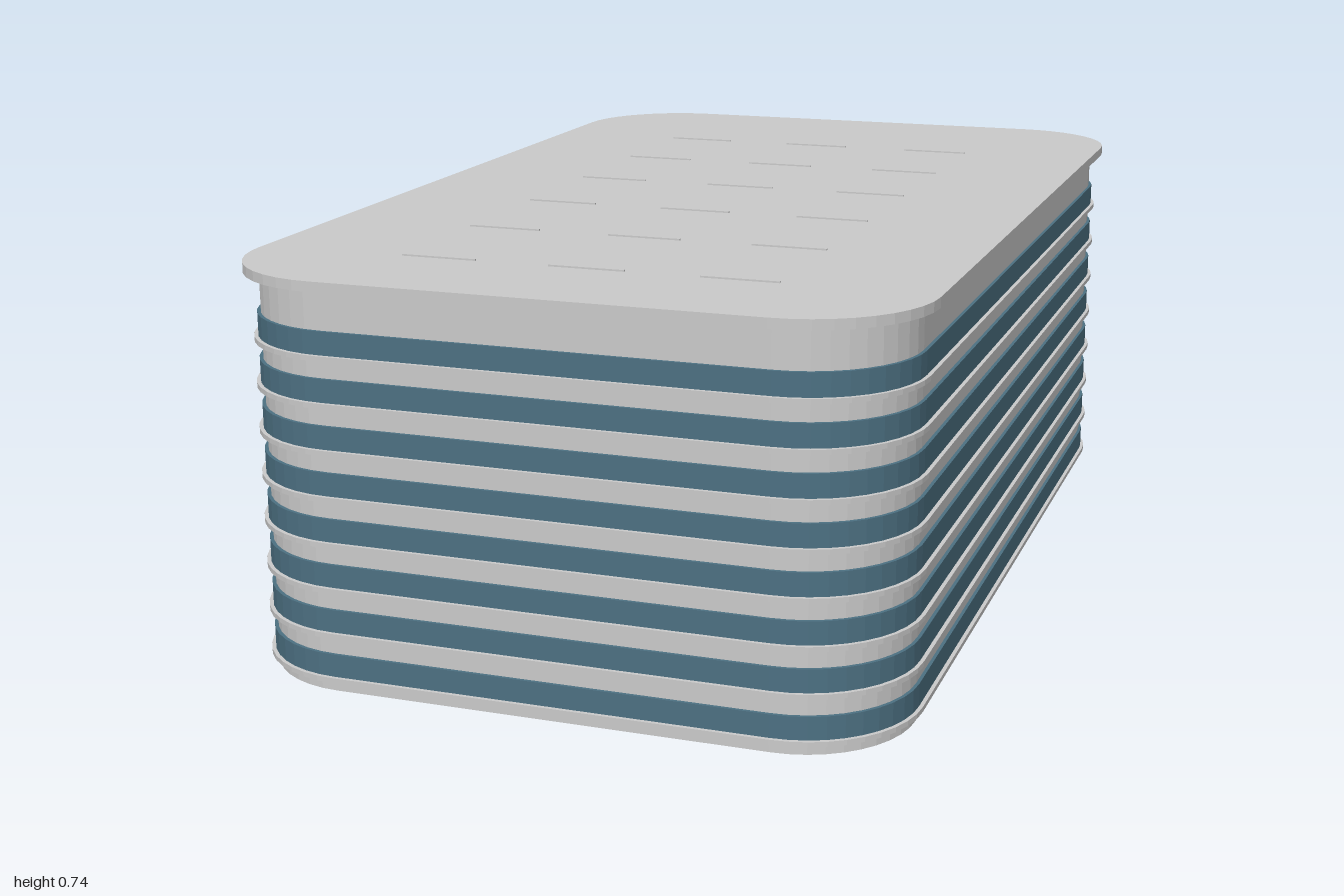
import * as THREE from 'three';

const grey = new THREE.MeshStandardMaterial({ color: 0xcccccc });
const glass = new THREE.MeshStandardMaterial({ color: 0x4d7183 });

// Upright slab with a rounded rectangular plan, from y0 to y1
function slab(name, hx, hz, r, y0, y1, material) {
  const s = new THREE.Shape();
  s.absarc(hx - r, hz - r, r, 0, Math.PI / 2);
  s.absarc(r - hx, hz - r, r, Math.PI / 2, Math.PI);
  s.absarc(r - hx, r - hz, r, Math.PI, Math.PI * 1.5);
  s.absarc(hx - r, r - hz, r, Math.PI * 1.5, Math.PI * 2);
  s.closePath();
  const g = new THREE.ExtrudeGeometry(s, { depth: y1 - y0, bevelEnabled: false, curveSegments: 5 });
  g.rotateX(-Math.PI / 2).translate(0, y0, 0);
  const mesh = new THREE.Mesh(g, material);
  mesh.name = name;
  return mesh;
}

export function createModel() {
  const building = new THREE.Group();
  building.name = 'building';

  // Main body and overhanging roof
  building.add(slab('body', 0.588, 0.973, 0.195, 0, 0.716, grey));
  building.add(slab('roof', 0.614, 1, 0.22, 0.715, 0.733, grey));

  // Eight storeys: a ribbon window standing on a projecting sill
  const storeys = 8, pitch = 0.0821;
  for (let i = 0; i < storeys; i++) {
    const y = 0.028 + i * pitch;
    const storey = new THREE.Group();
    storey.name = 'storey' + (i + 1);
    storey.add(slab('sill', 0.601, 0.986, 0.207, y - 0.009, y, grey));
    storey.add(slab('ribbonWindow', 0.594, 0.979, 0.2, y, y + 0.041, glass));
    building.add(storey);
  }

  // Thin raised strips on the roof, six rows of three
  const strip = new THREE.BoxGeometry(0.138, 0.006, 0.004);
  const strips = new THREE.Group();
  strips.name = 'roofStrips';
  for (let row = 0; row < 6; row++) {
    for (let col = -1; col <= 1; col++) {
      const m = new THREE.Mesh(strip, grey);
      m.name = 'roofStrip';
      m.position.set(col * 0.273, 0.733, -0.605 + row * 0.274);
      strips.add(m);
    }
  }
  building.add(strips);
  return building;
}
